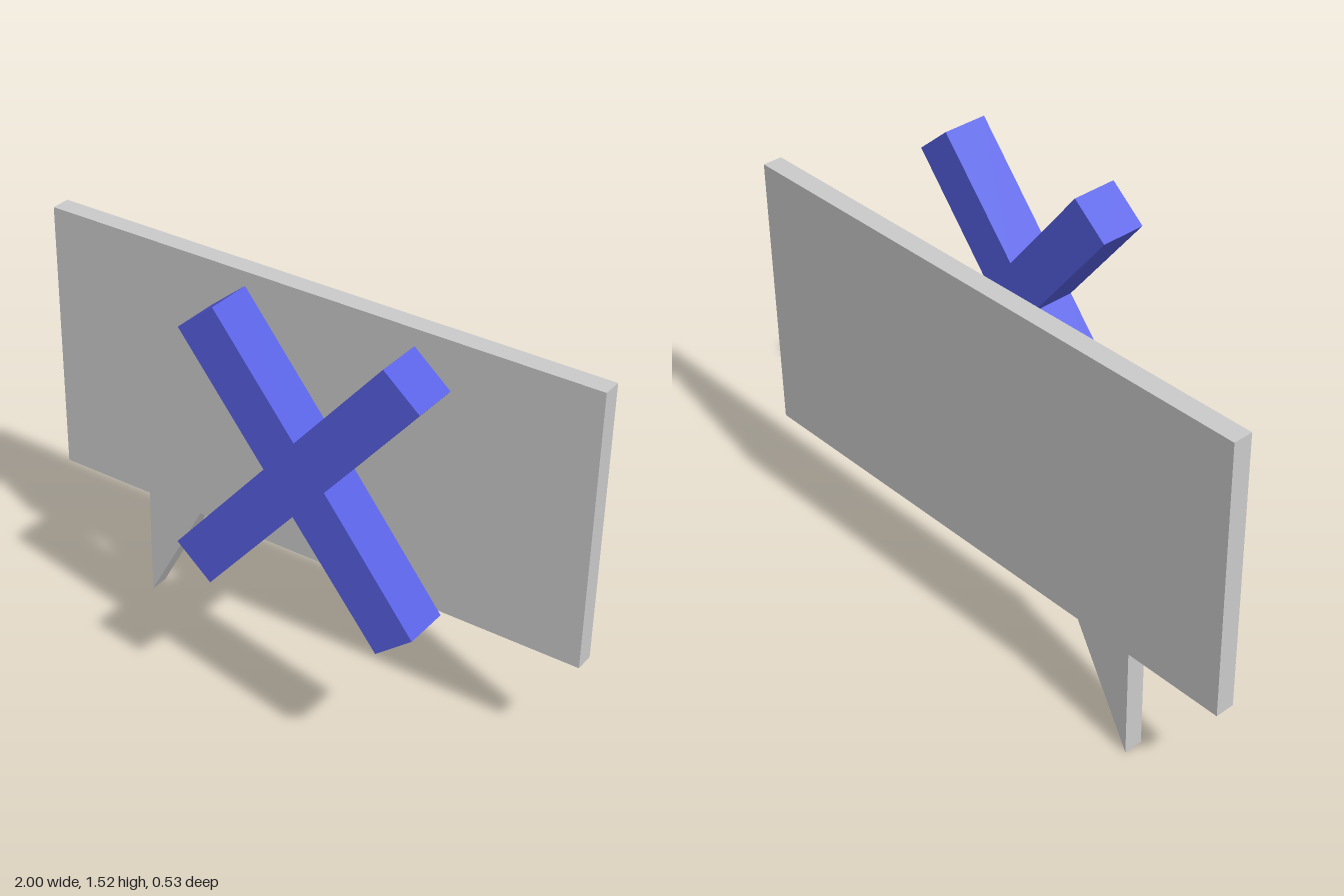
import * as THREE from 'three';

// Flat plate cut from an outline, spanning zBack to zFront
function plate(name, color, outline, zBack, zFront) {
  const shape = new THREE.Shape(outline.map(([x, y]) => new THREE.Vector2(x, y)));
  const geometry = new THREE.ExtrudeGeometry(shape, { depth: zFront - zBack, bevelEnabled: false });
  geometry.translate(0, 0, zBack);
  const mesh = new THREE.Mesh(geometry, new THREE.MeshStandardMaterial({ color }));
  mesh.name = name;
  return mesh;
}

export function createModel() {
  const group = new THREE.Group();
  group.name = 'speechBubbleWithCross';

  // Rectangular speech bubble with a pointed tail at the lower edge
  group.add(plate('speechBubble', 0xcccccc, [
    [-1, 0.4], [-0.645, 0.4], [-0.645, 0], [-0.43, 0.4],
    [1, 0.4], [1, 1.365], [-1, 1.365],
  ], -0.267, -0.2));

  // Thick cross floating in front: four arm ends and four inner corners
  group.add(plate('cross', 0x5861e4, [
    [0.27, 0.92], [0.568, 0.554], [0.69, 0.653],
    [0.378, 1.045], [0.683, 1.41], [0.562, 1.512],
    [0.272, 1.172], [-0.01, 1.52], [-0.134, 1.418],
    [0.167, 1.045], [-0.158, 0.662], [-0.035, 0.558],
  ], 0.11, 0.267));

  return group;
}
